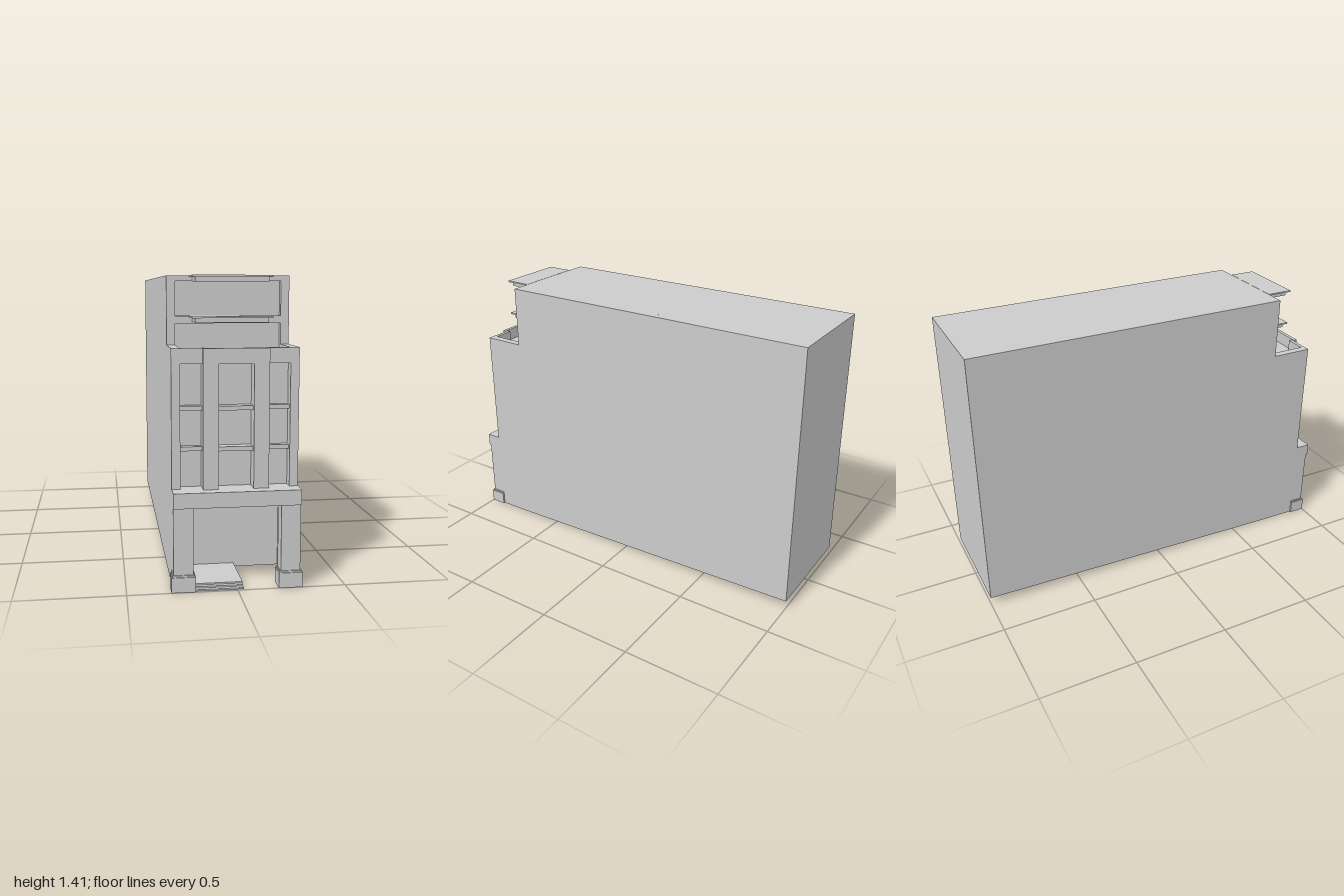
import * as THREE from 'three';

export function createModel() {
  const model = new THREE.Group();
  const mat = new THREE.MeshStandardMaterial({ color: 0xcccccc, flatShading: true, side: THREE.DoubleSide });

  function add(name, geometry) {
    const mesh = new THREE.Mesh(geometry, mat);
    mesh.name = name;
    model.add(mesh);
  }
  // Box given by its limits on each axis
  function box(name, x0, x1, y0, y1, z0, z1) {
    const g = new THREE.BoxGeometry(x1 - x0, y1 - y0, z1 - z0);
    g.translate((x0 + x1) / 2, (y0 + y1) / 2, (z0 + z1) / 2);
    add(name, g);
  }
  // Side profile of [z, y] points, extruded from x0 to x1
  function slab(name, points, x0, x1) {
    const shape = new THREE.Shape(points.map(([z, y]) => new THREE.Vector2(z, y)));
    const g = new THREE.ExtrudeGeometry(shape, { depth: x1 - x0, bevelEnabled: false });
    g.rotateY(-Math.PI / 2).translate(x1, 0, 0);
    add(name, g);
  }

  // Building core: recessed top storey, terrace, glazing plane, entry recess
  slab('core', [[-1, 0.045], [-1, 1.41], [0.67, 1.41], [0.67, 1.03], [0.87, 1.03],
    [0.87, 0.385], [0.69, 0.385], [0.69, 0.003]], -0.25, 0.25);

  // Party walls, including the terrace side parapets
  const wall = [[-1, 0.045], [-1, 1.41], [0.7, 1.41], [0.7, 1.09], [0.92, 1.09], [0.92, 0], [0.7, 0.002]];
  slab('rightWall', wall, -0.29, -0.25);
  slab('leftWall', wall, 0.25, 0.29);

  // Top storey bands and canopies
  for (const [y0, y1] of [[1.19, 1.225], [1.385, 1.41]]) {
    box('facadeBand', -0.25, 0.25, y0, y1, 0.67, 0.7);
    box('canopyBase', -0.17, 0.17, y1 - 0.028, y1 - 0.007, 0.7, 0.82);
    box('canopyTop', -0.185, 0.185, y1 - 0.007, y1 + 0.001, 0.7, 0.84);
  }

  // Terrace edge and front parapet with projecting bay
  box('terraceFloor', -0.25, 0.25, 1.02, 1.03, 0.86, 0.92);
  box('bayParapet', -0.15, 0.15, 1.02, 1.09, 0.925, 0.945);
  for (const s of [-1, 1]) {
    const span = (name, a, b, ...rest) => box(name, Math.min(s * a, s * b), Math.max(s * a, s * b), ...rest);
    span('sideParapet', 0.14, 0.25, 1.02, 1.09, 0.9, 0.92);
    span('bayPier', 0.08, 0.15, 0.455, 1.02, 0.87, 0.945);
    // Entry columns and their plinths
    span('entryColumn', 0.2, 0.29, 0, 0.385, 0.92, 0.99);
    span('plinth', 0.19, 0.3, 0, 0.07, 0.915, 1);
    span('plinthCap', 0.195, 0.295, 0.07, 0.078, 0.915, 0.995);
    // Side window transoms
    for (const y of [0.625, 0.81]) span('sideTransom', 0.15, 0.25, y, y + 0.02, 0.87, 0.9);
  }
  for (const y of [0.625, 0.81]) box('bayTransom', -0.08, 0.08, y, y + 0.02, 0.87, 0.92);

  // Ground floor beam
  box('entryBeam', -0.29, 0.29, 0.385, 0.455, 0.86, 1);

  // Entry floor with shallow steps
  for (let i = 0; i < 3; i++) {
    box('entryStep', -0.19, 0.03, i * 0.007, (i + 1) * 0.007, 0.69, 0.99 - i * 0.02);
  }
  return model;
}
